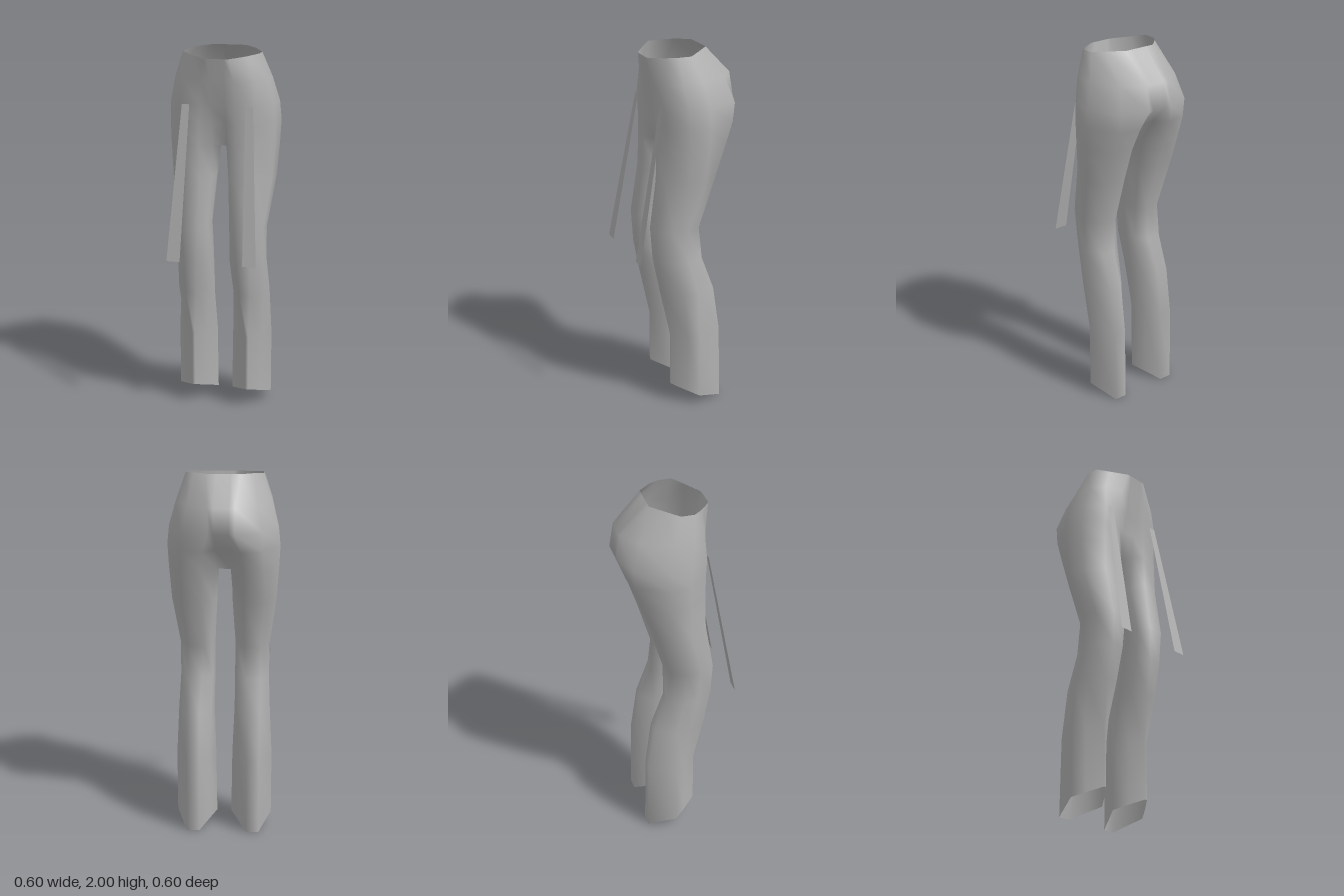
import * as THREE from 'three';

// Cross-sections of the left half, from the waist down. Points run from the
// front centre round the outer side to the back centre; leg rings add a ninth
// point on the inner thigh. y is one height, or one per point.
const torso = [
  { y: [1.965, 1.965, 1.975, 1.985, 1.985, 1.995, 2, 2], p: [[.04, .185], [.065, .183], [.15, .12], [.205, .07], [.205, 0], [.16, -.06], [.09, -.13], [.04, -.13]] },
  { y: 1.85, p: [[.04, .167], [.09, .165], [.19, .13], [.25, .06], [.252, -.05], [.18, -.2], [.07, -.277], [.04, -.28]] },
  { y: 1.72, p: [[.04, .148], [.09, .153], [.2, .14], [.28, .04], [.288, -.075], [.21, -.245], [.07, -.3], [.04, -.295]] },
  { y: 1.62, p: [[.04, .125], [.1, .15], [.2, .135], [.285, .035], [.298, -.075], [.21, -.235], [.1, -.26], [.04, -.2]] },
];
const leg = [
  { y: 1.5, p: [[.04, .11], [.1, .15], [.2, .135], [.282, .035], [.292, -.07], [.22, -.19], [.11, -.21], [.04, -.12], [.04, 0]] },
  { y: 1.32, p: [[.045, .09], [.1, .155], [.2, .14], [.272, .04], [.28, -.05], [.22, -.13], [.11, -.15], [.05, -.07], [.04, .01]] },
  { y: 1.05, p: [[.06, .13], [.1, .19], [.19, .188], [.24, .11], [.245, .03], [.2, -.05], [.11, -.07], [.07, -.02], [.055, .06]] },
  { y: .87, p: [[.06, .12], [.11, .18], [.18, .18], [.238, .09], [.243, .02], [.2, -.07], [.12, -.07], [.065, -.03], [.055, .04]] },
  { y: .68, p: [[.07, .07], [.12, .145], [.18, .145], [.245, .05], [.252, -.03], [.2, -.14], [.13, -.145], [.07, -.07], [.055, 0]] },
  { y: .42, p: [[.09, .035], [.145, .095], [.16, .095], [.22, .02], [.265, -.035], [.2, -.178], [.13, -.178], [.08, -.1], [.045, -.035]] },
  { y: 0, hem: true, p: [[.09, .03], [.145, .095], [.16, .095], [.22, .025], [.265, -.035], [.2, -.185], [.13, -.185], [.08, -.1], [.04, -.035]] },
];

function buildTrousers() {
  const pos = [], index = [];
  // Adds one mirrored half ring and returns its vertex numbers
  const addRing = (ring, side) => ring.p.map(([x, z], i) => {
    // The hem slopes down towards the heel
    const y = ring.hem ? .11 * (z + .185) / .28 : Array.isArray(ring.y) ? ring.y[i] : ring.y;
    pos.push(side * x, y, z);
    return pos.length / 3 - 1;
  });
  const quad = (a, b, c, d) => index.push(a, b, c, a, c, d);
  const halves = [1, -1].map(side => [...torso, ...leg].map(r => addRing(r, side)));

  // Outer walls and leg tubes
  halves.forEach((rings, h) => {
    for (let r = 0; r < rings.length - 1; r++) {
      const up = rings[r], low = rings[r + 1];
      const steps = r < torso.length ? 7 : 9;
      for (let i = 0; i < steps; i++) {
        const j = (i + 1) % up.length;
        if (h === 0) quad(up[i], low[i], low[j], up[j]);
        else quad(up[j], low[j], low[i], up[i]);
      }
    }
  });

  // Centre strips at the front and back, then the crotch between the legs
  const [L, R] = halves;
  for (let r = 0; r < torso.length; r++) {
    quad(R[r][0], R[r + 1][0], L[r + 1][0], L[r][0]);
    quad(L[r][7], L[r + 1][7], R[r + 1][7], R[r][7]);
  }
  const l = L[torso.length], k = R[torso.length];
  quad(k[0], k[8], l[8], l[0]);
  quad(k[8], k[7], l[7], l[8]);

  const g = new THREE.BufferGeometry();
  g.setAttribute('position', new THREE.Float32BufferAttribute(pos, 3));
  g.setIndex(index);
  g.computeVertexNormals();
  return g;
}

// Flat strap hanging forward from the front of the hip
function buildStrap(side) {
  const corners = [[.19, 1.72, .152], [.15, 1.72, .152], [.17, .9, .3], [.243, .9, .3]];
  const g = new THREE.BufferGeometry();
  g.setAttribute('position', new THREE.Float32BufferAttribute(
    corners.flatMap(([x, y, z]) => [side * x, y, z]), 3));
  g.setIndex(side > 0 ? [0, 1, 2, 0, 2, 3] : [0, 2, 1, 0, 3, 2]);
  g.computeVertexNormals();
  return g;
}

export function createModel() {
  const model = new THREE.Group();
  model.name = 'trousers';
  const cloth = new THREE.MeshStandardMaterial({ color: 0xb0b0b0, side: THREE.DoubleSide });
  cloth.name = 'grey cloth';
  const add = (geometry, name) => {
    const mesh = new THREE.Mesh(geometry, cloth);
    mesh.name = name;
    model.add(mesh);
  };
  add(buildTrousers(), 'trouserBody');
  add(buildStrap(1), 'leftStrap');
  add(buildStrap(-1), 'rightStrap');
  return model;
}
